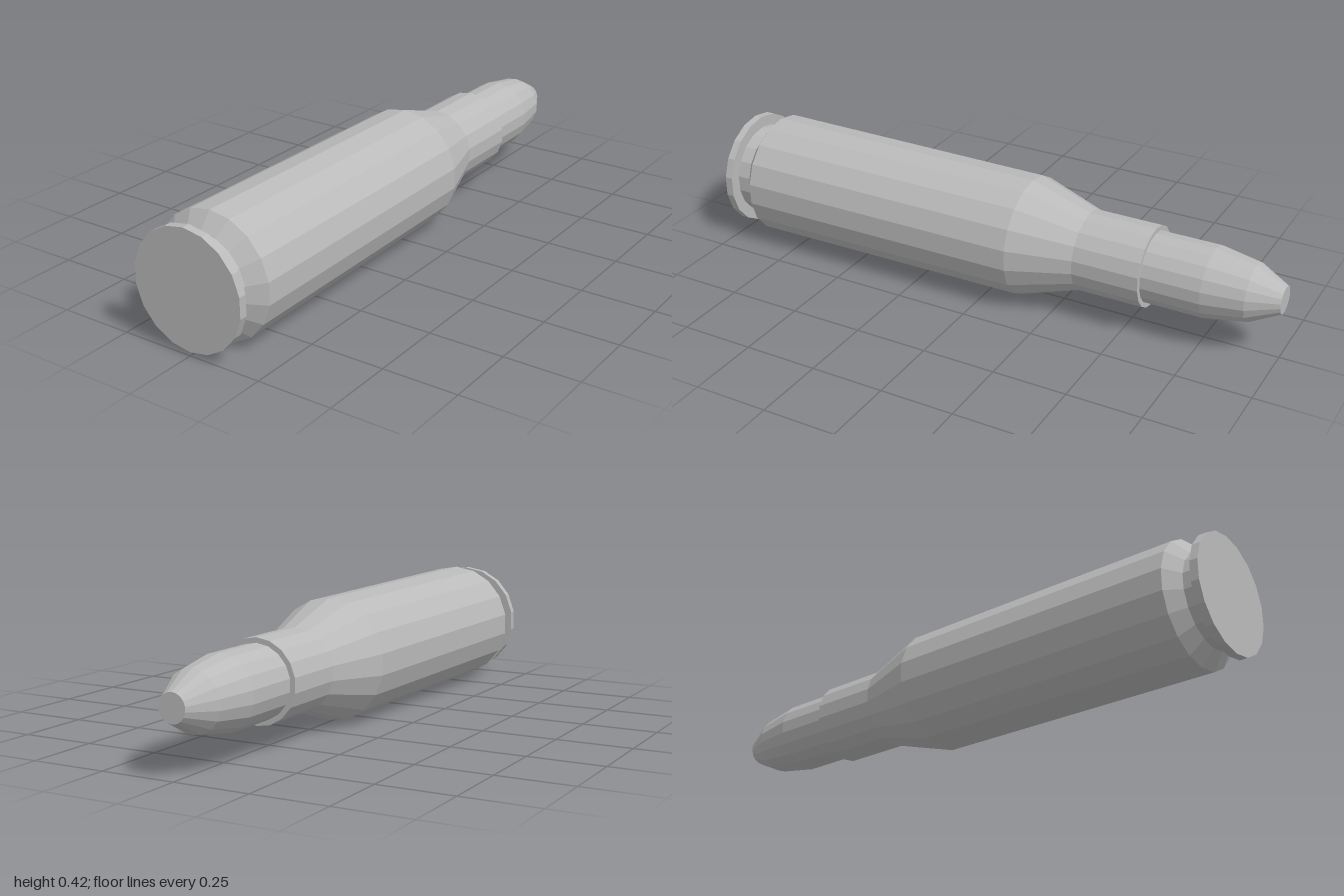
import * as THREE from 'three';

const SIDES = 18;
const AXIS_Y = 0.21;

export function createModel() {
  const group = new THREE.Group();
  group.name = 'cartridge';
  const metal = new THREE.MeshStandardMaterial({ color: 0xbababa, flatShading: true });
  metal.name = 'grey metal';

  // Turn a [radius, z] profile, listed front to back, around the long axis
  const turned = (name, profile) => {
    const points = profile.map(([r, z]) => new THREE.Vector2(r, -z));
    const geometry = new THREE.LatheGeometry(points, SIDES);
    geometry.rotateX(-Math.PI / 2);
    const mesh = new THREE.Mesh(geometry, metal);
    mesh.name = name;
    mesh.position.y = AXIS_Y;
    group.add(mesh);
  };

  // Flat base disc, rim and extractor groove
  turned('rim', [[0, 1], [0.198, 1], [0.198, 0.973], [0.158, 0.973], [0.158, 0.927]]);

  // Slightly tapering case with shoulder and neck
  turned('case', [
    [0.158, 0.927], [0.21, 0.885], [0.204, -0.125],
    [0.137, -0.335], [0.137, -0.565], [0.12, -0.565],
  ]);

  // Bullet with blunt tip
  turned('bullet', [[0.12, -0.565], [0.12, -0.765], [0.097, -0.9], [0.046, -1], [0, -1]]);

  return group;
}
